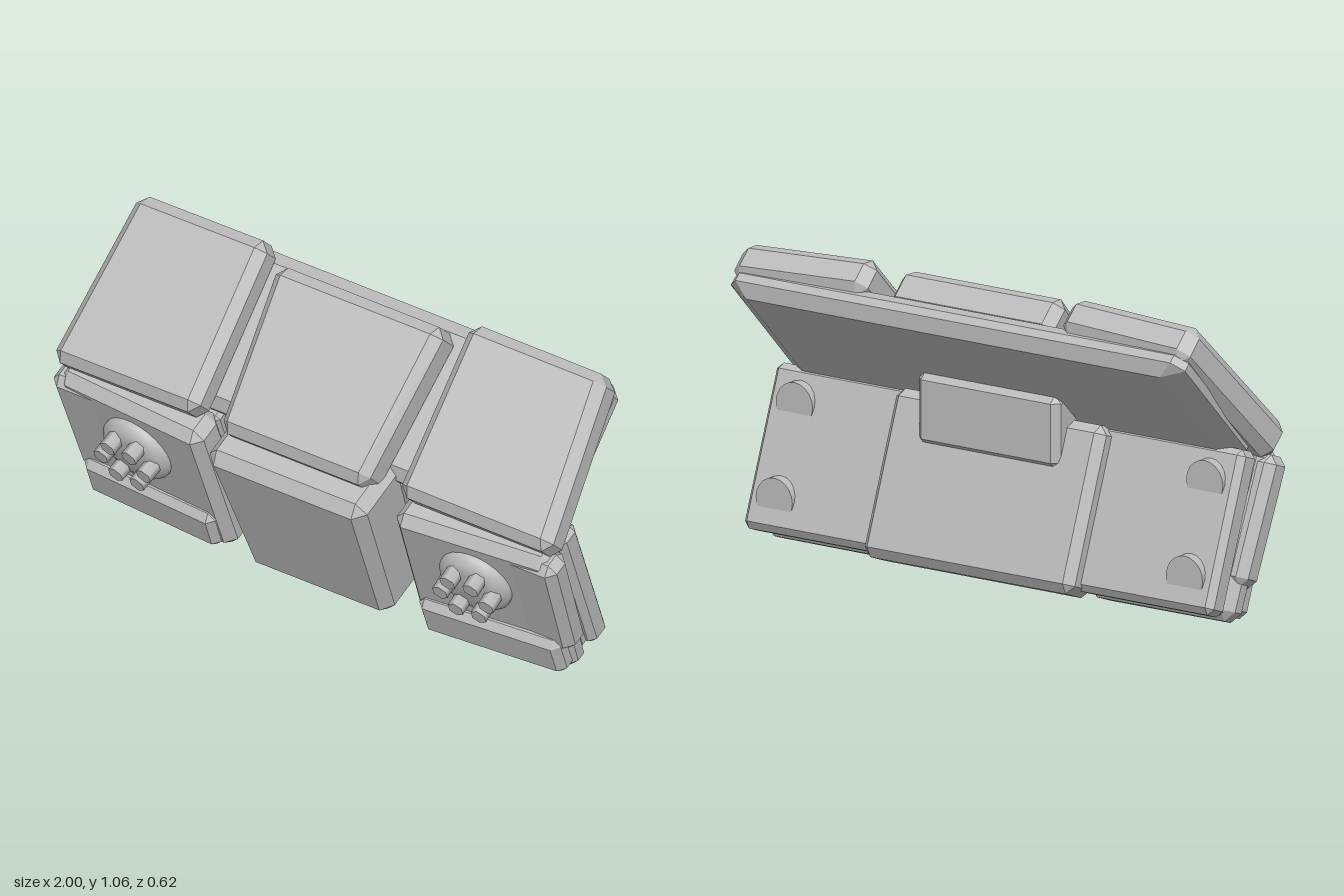
import * as THREE from 'three';
import { ConvexGeometry } from 'three/addons/geometries/ConvexGeometry.js';

const grey = new THREE.MeshStandardMaterial({ color: 0xbcbcbc });
grey.name = 'plain grey';

function add(parent, name, geometry) {
  const mesh = new THREE.Mesh(geometry, grey);
  mesh.name = name;
  parent.add(mesh);
  return mesh;
}

// Box with chamfered edges; an optional rule moves its points, side -1 mirrors it
function block(parent, name, xs, ys, zs, bevel, warp, side = 1) {
  const pts = [];
  for (let i = 0; i < 8; i++) {
    const pick = [i & 1, (i >> 1) & 1, (i >> 2) & 1];
    for (let keep = 0; keep < 3; keep++) {
      const c = [xs, ys, zs].map((r, a) =>
        r[pick[a]] + (a === keep ? 0 : bevel * (pick[a] ? -1 : 1)));
      const p = new THREE.Vector3(...c);
      if (warp) warp(p);
      p.x *= side;
      pts.push(p);
    }
  }
  return add(parent, name, new ConvexGeometry(pts));
}

// Surfaces fall back towards the outer ends
const sweep = (p, k) => { p.z -= k * (p.x - 0.4); };

function buildLower(g) {
  // Central body, narrower towards the bottom
  block(g, 'centreBlock', [-0.315, 0.315], [0.02, 0.63], [-0.15, 0.12], 0.04, p => {
    p.x *= 0.88 + 0.19 * p.y;
    if (p.z > 0) p.z -= 0.03 * (1 - p.y / 0.63);
  });
  block(g, 'centreBackPlate', [-0.43, 0.43], [-0.015, 0.55], [-0.26, -0.11], 0.03);

  for (const s of [1, -1]) {
    const pod = new THREE.Group();
    pod.name = s > 0 ? 'leftPod' : 'rightPod';
    g.add(pod);
    // Layered side pod
    block(pod, 'podFront', [0.375, 0.965], [0.0, 0.585], [-0.09, 0.055], 0.035, p => {
      p.x += 0.03 * (p.y - 0.3);
      if (p.z > -0.03) sweep(p, 0.07);
    }, s);
    block(pod, 'podSide', [0.6, 1.0], [0.12, 0.565], [-0.085, 0.025], 0.03,
      p => { if (p.x > 0.8) p.x += 0.045 * (p.y - 0.565); }, s);
    block(pod, 'podMiddle', [0.39, 0.93], [0.012, 0.55], [-0.15, -0.07], 0.015, null, s);
    block(pod, 'podBack', [0.39, 0.96], [0.005, 0.56], [-0.2, -0.105], 0.022, null, s);
    block(pod, 'lowerBar', [0.405, 0.945], [0.02, 0.18], [-0.03, 0.085], 0.025,
      p => sweep(p, 0.06), s);

    // Round cap with six hexagonal studs
    const cap = new THREE.Group();
    cap.name = 'studdedCap';
    cap.position.set(0.67 * s, 0.385, 0.025);
    cap.rotation.y = 0.06 * s;
    pod.add(cap);
    const profile = [[0.133, 0], [0.133, 0.025], [0.115, 0.048], [0.08, 0.062], [0, 0.066]]
      .map(([r, h]) => new THREE.Vector2(r, h));
    add(cap, 'capDisc', new THREE.LatheGeometry(profile, 24).rotateX(Math.PI / 2));
    for (let i = 0; i < 6; i++) {
      const a = i * Math.PI / 3;
      const stud = add(cap, 'hexStud',
        new THREE.CylinderGeometry(0.03, 0.03, 0.07, 6).toNonIndexed().rotateX(Math.PI / 2));
      stud.position.set(0.088 * Math.cos(a), 0.08 * Math.sin(a), 0.07);
    }
  }
}

function buildUpper(g) {
  // Wide backing slab with a smaller rear face
  block(g, 'backingSlab', [-0.93, 0.93], [0.325, 0.88], [0.41, 0.52], 0.04, p => {
    if (p.z < 0.43) p.x *= 0.95;
  });
  // Centre panel, wider towards the top
  block(g, 'centrePanel', [-0.335, 0.335], [0.255, 0.835], [0.49, 0.645], 0.035, p => {
    p.x *= 0.86 + 0.14 * (p.y - 0.255) / 0.58;
  });
  // Side panels, narrowing at the outer top
  for (const s of [1, -1]) {
    block(g, s > 0 ? 'leftPanel' : 'rightPanel', [0.4, 0.99], [0.275, 0.89], [0.49, 0.63], 0.035, p => {
      if (p.x > 0.7) p.x -= 0.06 * (p.y - 0.275) / 0.615;
      sweep(p, 0.05);
    }, s);
  }
}

export function createModel() {
  const model = new THREE.Group();
  model.name = 'armourBlock';

  const lower = new THREE.Group();
  lower.name = 'lowerSection';
  lower.rotation.x = THREE.MathUtils.degToRad(20);
  buildLower(lower);

  const upper = new THREE.Group();
  upper.name = 'upperSection';
  upper.rotation.x = THREE.MathUtils.degToRad(-45);
  buildUpper(upper);
  model.add(lower, upper);

  // Rear hinge block joining both sections
  block(model, 'hingeBlock', [-0.29, 0.29], [0.44, 0.69], [-0.125, 0.08], 0.025);

  // Round stubs emerging from the back of the pods
  for (const s of [1, -1]) {
    for (const [y, z] of [[0.475, -0.05], [0.175, -0.16]]) {
      const stub = add(model, 'rearStub',
        new THREE.CylinderGeometry(0.075, 0.075, 0.1, 20).rotateX(Math.PI / 2));
      stub.position.set(0.84 * s, y, z + 0.05);
    }
  }
  return model;
}
